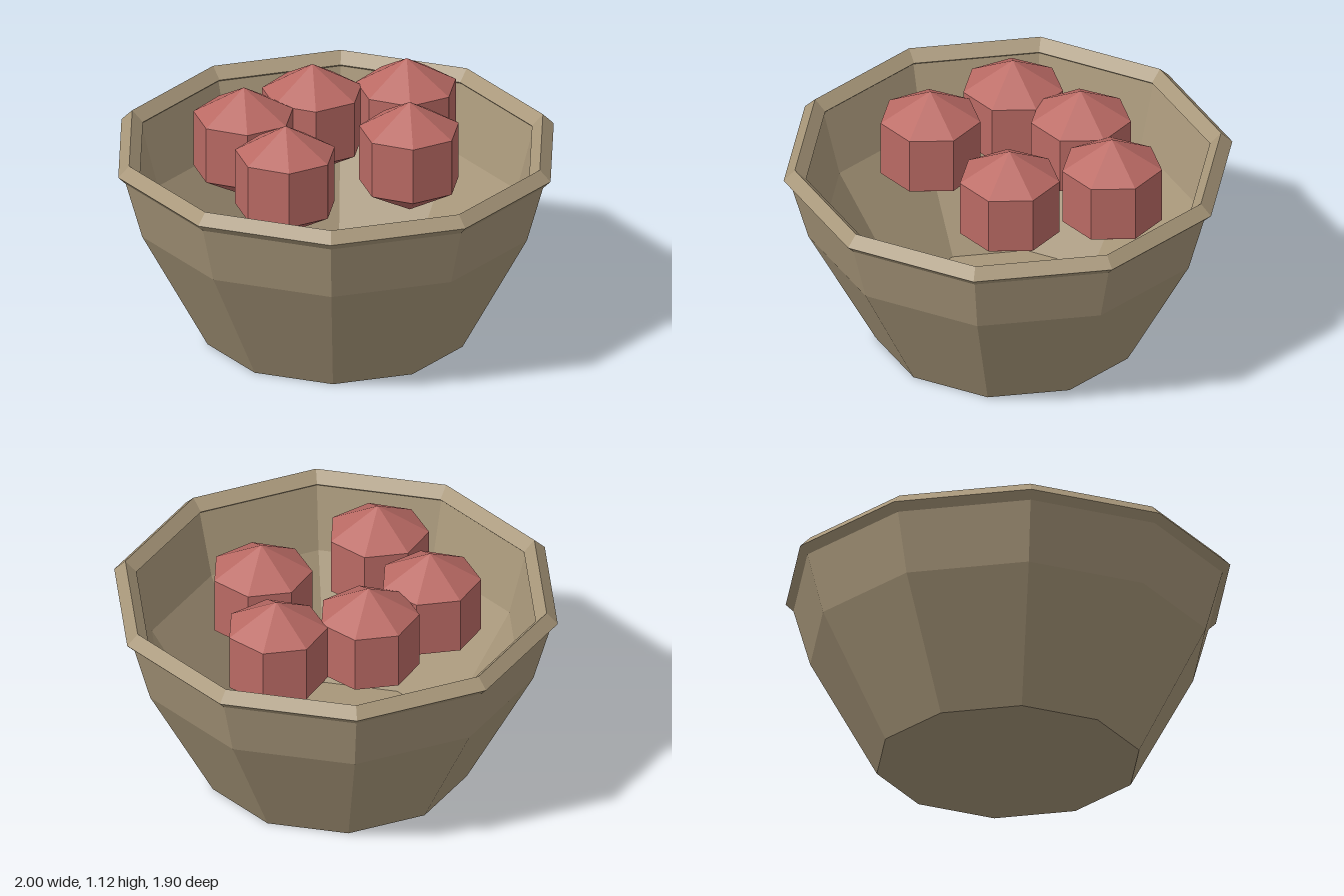
import * as THREE from 'three';

export function createModel() {
  const model = new THREE.Group();
  const clay = new THREE.MeshStandardMaterial({ color: 0xa8977a, flatShading: true });
  clay.name = 'clay';
  const berryRed = new THREE.MeshStandardMaterial({ color: 0xba6a64, flatShading: true });
  berryRed.name = 'berryRed';

  const SIDES = 10;
  const RIM_Y = 0.86;

  function add(name, geometry, material, x = 0, y = 0, z = 0) {
    const mesh = new THREE.Mesh(geometry, material);
    mesh.name = name;
    mesh.position.set(x, y, z);
    model.add(mesh);
    return mesh;
  }

  // Hollow bowl: outer wall going up, inner wall coming back down to the floor
  const profile = [
    [0, 0], [0.59, 0], [0.89, 0.56], [0.975, RIM_Y],
    [0.91, RIM_Y], [0.83, 0.56], [0.53, 0.06], [0, 0.06],
  ].map(([r, y]) => new THREE.Vector2(r, y));
  add('bowl', new THREE.LatheGeometry(profile, SIDES, Math.PI / 2), clay);

  // Diamond-section rim
  const rim = new THREE.TorusGeometry(0.95, 0.05, 4, SIDES).rotateX(-Math.PI / 2);
  add('rim', rim, clay, 0, RIM_Y, 0);

  // Faceted round fruits sitting at rim height
  const fruit = new THREE.SphereGeometry(0.26, 7, 3).rotateY(Math.PI);
  const spots = [[0, -0.36], [-0.36, -0.21], [0.415, -0.3], [-0.3, 0.23], [0.295, 0.145]];
  spots.forEach(([x, z], i) => add('fruit' + (i + 1), fruit, berryRed, x, RIM_Y, z));

  return model;
}
